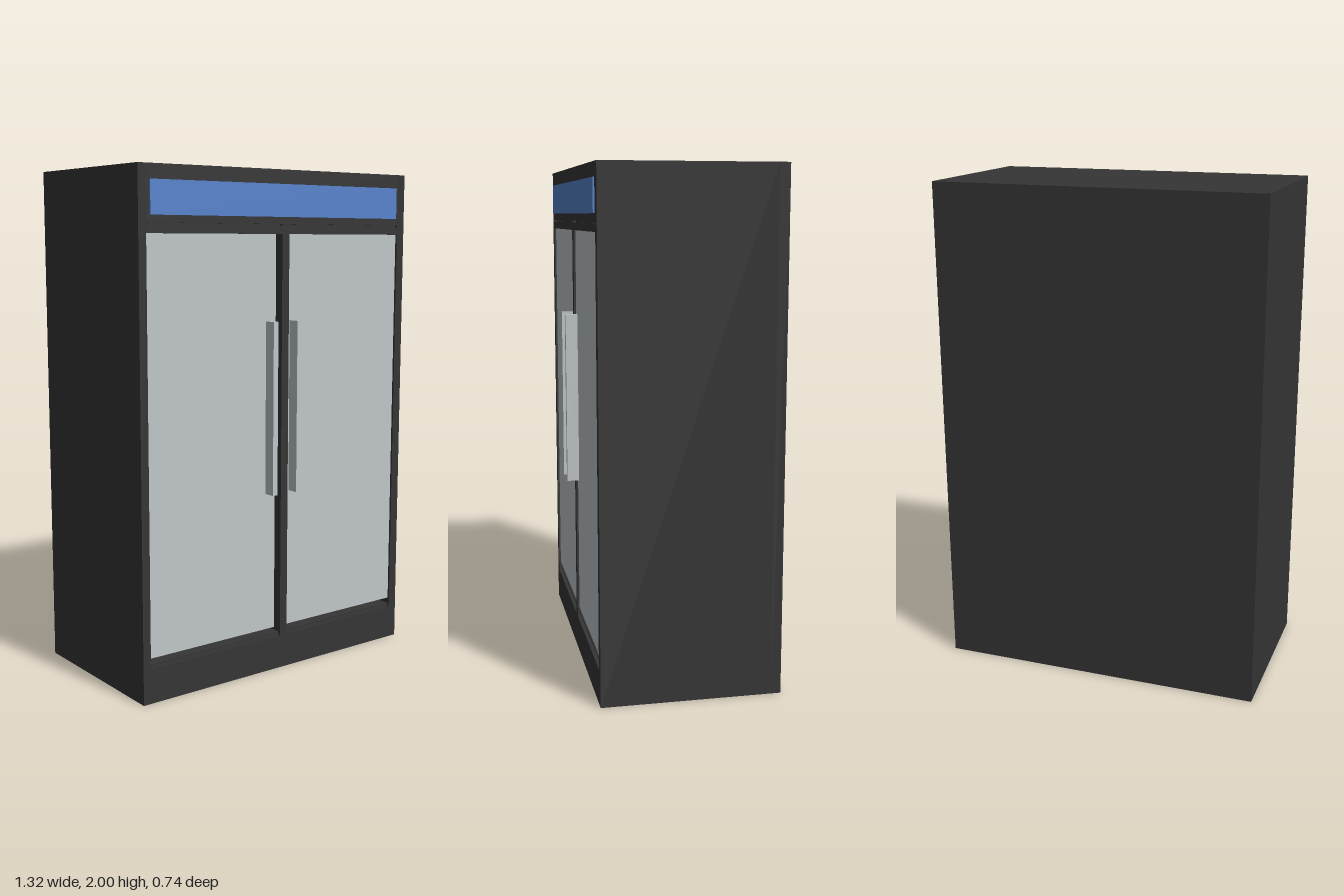
import * as THREE from 'three';

const mat = (name, color) => {
  const m = new THREE.MeshStandardMaterial({ color });
  m.name = name;
  return m;
};

export function createModel() {
  const root = new THREE.Group();
  root.name = 'displayCooler';
  const body = mat('charcoal body', 0x353535);
  const blue = mat('blue sign', 0x5783cc);
  const glass = mat('pale grey glass', 0xc0c6c9);
  const black = mat('black label', 0x161616);

  // Box given by its limits on each axis
  const slab = (name, material, x0, x1, y0, y1, z0, z1, parent = root) => {
    const mesh = new THREE.Mesh(new THREE.BoxGeometry(x1 - x0, y1 - y0, z1 - z0), material);
    mesh.position.set((x0 + x1) / 2, (y0 + y1) / 2, (z0 + z1) / 2);
    mesh.name = name;
    parent.add(mesh);
    return mesh;
  };

  // Cabinet shell
  const W = 0.658, F = 0.33, B = -0.37;
  slab('backWall', body, -W, W, 0, 2, B, B + 0.04);
  for (const s of [-1, 1]) {
    const [a, b] = s < 0 ? [-W, -0.625] : [0.62, W];
    slab(s < 0 ? 'rightWall' : 'leftWall', body, a, b, 0, 2, B + 0.04, F);
  }
  slab('header', body, -0.625, 0.62, 1.793, 2, B + 0.04, F);
  slab('base', body, -0.625, 0.62, 0, 0.136, B + 0.04, F);

  // Door rails, leaving narrow grooves against the header and base
  slab('topRail', body, -0.625, 0.62, 1.755, 1.785, 0.25, F);
  slab('bottomRail', body, -0.625, 0.62, 0.175, 0.144, 0.25, F).scale.y = -1;
  slab('centrePost', body, 0, 0.035, 0.136, 1.793, 0.25, F);
  slab('topGrooveBacking', body, -0.625, 0.62, 1.78, 1.8, 0.24, F - 0.012);
  slab('bottomGrooveBacking', body, -0.625, 0.62, 0.13, 0.15, 0.24, F - 0.012);

  // Illuminated sign panel
  slab('signPanel', blue, -0.61, 0.608, 1.82, 1.945, F, F + 0.006);

  // Glass doors; the first stops short of the centre post
  slab('rightDoorGlass', glass, -0.625, -0.025, 0.175, 1.755, 0.31, 0.322);
  slab('leftDoorGlass', glass, 0.035, 0.62, 0.175, 1.755, 0.31, 0.322);

  // Door handles
  slab('rightHandle', glass, -0.073, -0.05, 0.735, 1.42, 0.322, 0.37);
  slab('leftHandle', glass, 0.046, 0.069, 0.735, 1.42, 0.322, 0.37);

  // Pale interior lining and shelves
  slab('backLining', glass, -0.62, 0.615, 0.14, 1.79, -0.33, -0.32);
  for (const y of [0.19, 0.53, 0.875, 1.19, 1.48, 1.62])
    slab('shelf', glass, -0.62, 0.615, y - 0.012, y + 0.012, -0.32, 0.24);

  // Bottles with a label band, standing along the shelves
  const profile = [[0, 0], [0.05, 0], [0.05, 0.12], [0.018, 0.18], [0.018, 0.21], [0, 0.21]]
    .map(([x, y]) => new THREE.Vector2(x, y));
  const bottleGeo = new THREE.LatheGeometry(profile, 12);
  const labelGeo = new THREE.CylinderGeometry(0.051, 0.051, 0.045, 12, 1, true);
  [0.202, 0.542, 0.887, 1.202].forEach((y, row) => {
    for (let i = -4; i <= 4; i++) {
      const bottle = new THREE.Group();
      bottle.name = 'bottle';
      const shape = new THREE.Mesh(bottleGeo, glass);
      shape.name = 'bottleBody';
      const label = new THREE.Mesh(labelGeo, row === 0 ? blue : black);
      label.name = 'bottleLabel';
      label.position.y = 0.06;
      bottle.add(shape, label);
      bottle.position.set(0.02 + i * 0.13, y, 0.16);
      root.add(bottle);
    }
  });

  return root;
}
